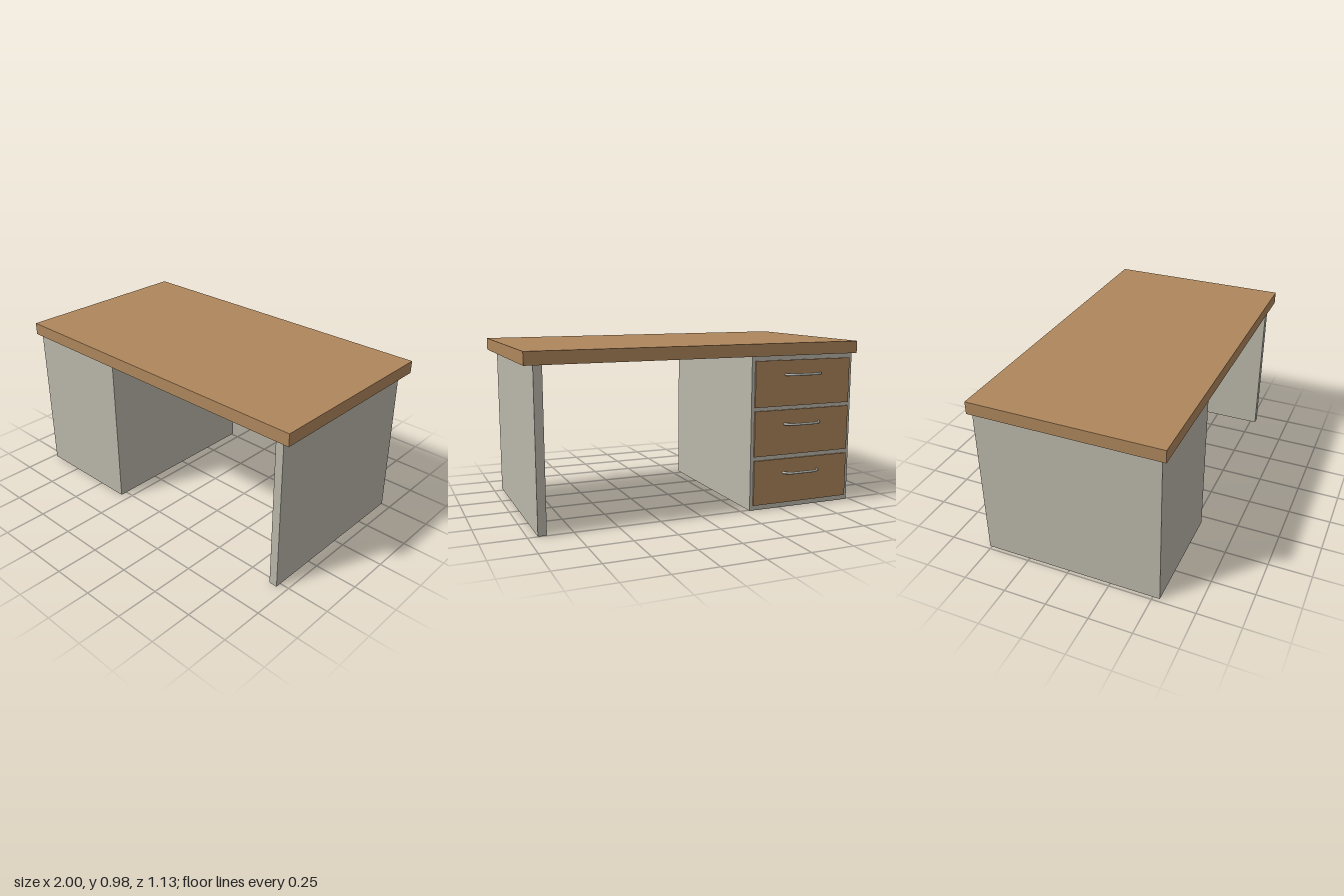
import * as THREE from 'three';

export function createModel() {
  const desk = new THREE.Group();
  desk.name = 'desk';

  const material = (name, color) => {
    const m = new THREE.MeshStandardMaterial({ color });
    m.name = name;
    return m;
  };
  const wood = material('wood', 0xae865c);
  const panel = material('greyPanel', 0xbab6aa);
  const metal = material('handleMetal', 0xb0aea6);

  // Box given by its minimum and maximum corners
  const box = (name, mat, [x0, y0, z0], [x1, y1, z1], parent = desk) => {
    const mesh = new THREE.Mesh(new THREE.BoxGeometry(x1 - x0, y1 - y0, z1 - z0), mat);
    mesh.position.set((x0 + x1) / 2, (y0 + y1) / 2, (z0 + z1) / 2);
    mesh.name = name;
    parent.add(mesh);
    return mesh;
  };

  box('desktop', wood, [-1, 0.905, -0.534], [1, 0.977, 0.567]);
  box('cabinet', panel, [-0.98, 0, -0.512], [-0.305, 0.905, 0.54]);
  box('sideLeg', panel, [0.898, 0.002, -0.502], [0.946, 0.905, 0.535]);

  // Bow handle: a round bar bent away from the drawer front
  const half = [[0.117, -0.516], [0.113, -0.532], [0.1, -0.545], [0.083, -0.555], [0.062, -0.558]];
  const points = [
    ...half.map(([x, z]) => new THREE.Vector3(-x, 0, z)),
    new THREE.Vector3(0, 0, -0.558),
    ...half.slice().reverse().map(([x, z]) => new THREE.Vector3(x, 0, z)),
  ];
  const handleGeometry = new THREE.TubeGeometry(new THREE.CatmullRomCurve3(points), 40, 0.0075, 12);

  // Three drawers, bottom to top
  [[0.03, 0.296], [0.321, 0.588], [0.61, 0.878]].forEach(([y0, y1], i) => {
    const drawer = new THREE.Group();
    drawer.name = `drawer${i + 1}`;
    box('drawerFront', wood, [-0.96, y0, -0.522], [-0.325, y1, -0.51], drawer);
    const handle = new THREE.Mesh(handleGeometry, metal);
    handle.name = 'drawerHandle';
    handle.position.set(-0.637, 0.213 + i * 0.291, 0);
    drawer.add(handle);
    desk.add(drawer);
  });

  return desk;
}
